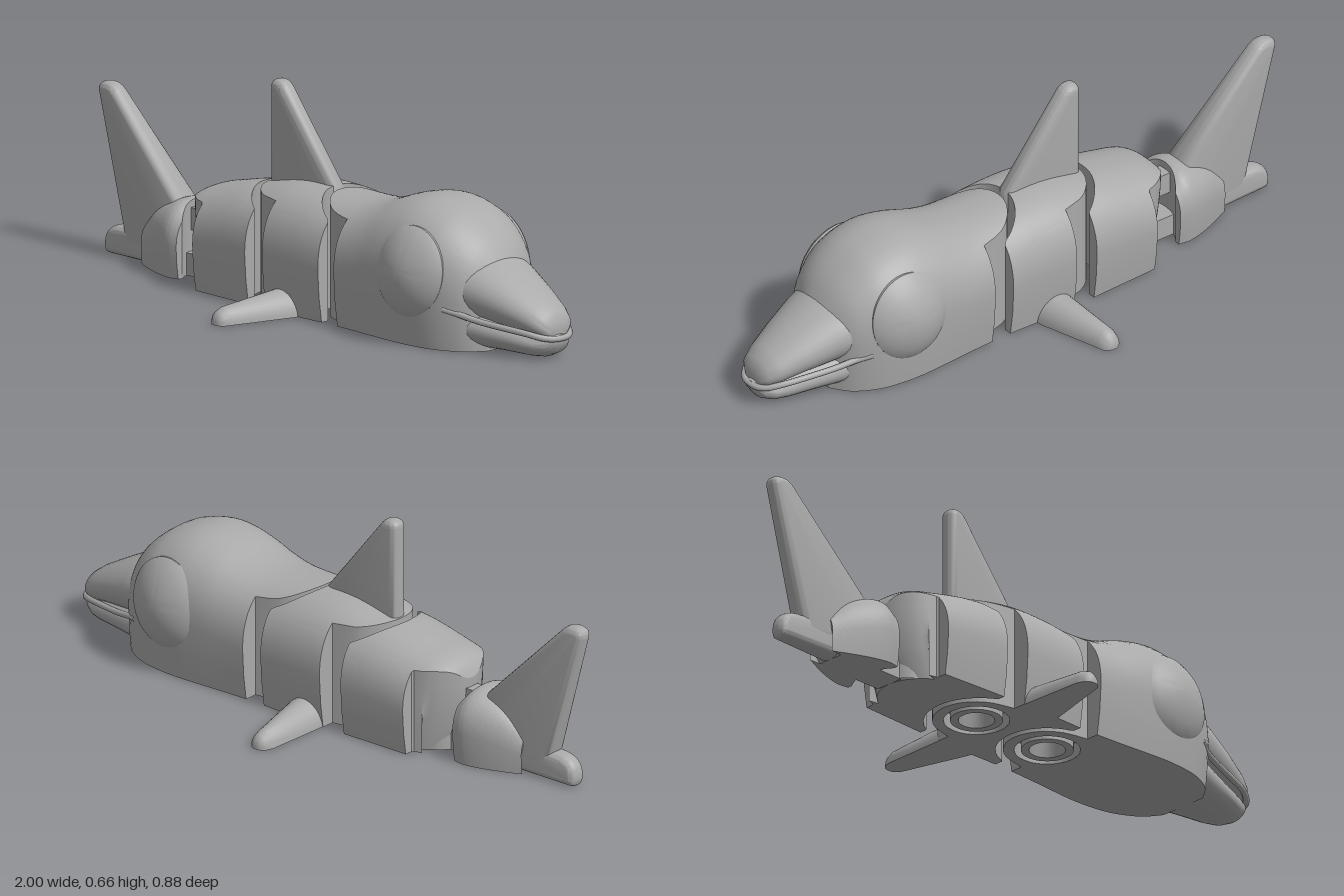
import * as THREE from 'three';
import { toCreasedNormals } from 'three/addons/utils/BufferGeometryUtils.js';

const grey = new THREE.MeshStandardMaterial({ color: 0xaaaaaa, side: THREE.DoubleSide });
grey.name = 'grey plastic';

function add(parent, name, geometry, crease = 0.6) {
  const mesh = new THREE.Mesh(crease ? toCreasedNormals(geometry, crease) : geometry, grey);
  mesh.name = name;
  parent.add(mesh);
  return mesh;
}

// Surface from a rule f(i, j) returning [x, y, z]
function grid(f, nu, nv) {
  const pos = [], idx = [];
  for (let i = 0; i <= nu; i++) for (let j = 0; j <= nv; j++) {
    pos.push(...f(i, j));
    if (i < nu && j < nv) {
      const a = i * (nv + 1) + j, b = a + nv + 1;
      idx.push(a, b, a + 1, b, b + 1, a + 1);
    }
  }
  const g = new THREE.BufferGeometry();
  g.setAttribute('position', new THREE.Float32BufferAttribute(pos, 3));
  g.setIndex(idx);
  g.computeVertexNormals();
  return g;
}

// Smooth interpolation through rows of [x, value, value]
function sample(rows, x, k) {
  let i = 0;
  while (i < rows.length - 2 && x > rows[i + 1][0]) i++;
  const P = n => rows[Math.max(0, Math.min(rows.length - 1, n))];
  const slope = n => (P(n + 1)[k] - P(n - 1)[k]) / (P(n + 1)[0] - P(n - 1)[0]);
  const a = P(i), b = P(i + 1), h = b[0] - a[0];
  const t = Math.max(0, Math.min(1, (x - a[0]) / h));
  const t2 = t * t, t3 = t2 * t;
  return (2 * t3 - 3 * t2 + 1) * a[k] + (t3 - 2 * t2 + t) * h * slope(i)
    + (3 * t2 - 2 * t3) * b[k] + (t3 - t2) * h * slope(i + 1);
}

// Joint outlines in plan: rounded tongue at the back, hollow socket at the front
const tongue = (cx, r, side) => z => Math.abs(z) < r ? cx - Math.sqrt(r * r - z * z) : side;
const socket = (cx, r, side) => z => Math.abs(z) < r ? Math.min(side, cx - Math.sqrt(r * r - z * z)) : side;

// Domed, flat-bottomed body segment; rows are [x, half width, top]
function segment(parent, name, { rows, ref, back, front, hinge, tuck = 0 }) {
  const group = new THREE.Group();
  group.name = name;
  parent.add(group);
  const N = 56, U = 28, V = 6, base = 0.92;
  const section = [[base, 0], [0.975, 0.22]];
  for (let j = 0; j <= N; j++) {
    const a = Math.PI * j / N, c = Math.cos(a);
    section.push([Math.sign(c) * Math.abs(c) ** 0.85, 0.45 + 0.55 * Math.sin(a) ** 0.85]);
  }
  section.push([-0.975, 0.22], [-base, 0]);
  const last = section.length - 1;
  const shift = (s, v) => Math.abs(s * ref) < 0.13 ? tuck * (1 - v) ** 2 : 0;
  const skin = (i, j) => {
    const [s, h] = section[j], x = THREE.MathUtils.lerp(back(s * ref), front(s * ref), i / U);
    return [x, h * sample(rows, x, 2), s * sample(rows, x, 1)];
  };
  const wall = (i, j, v) => {
    const [x, y, z] = skin(i, j), s = section[j][0];
    const zb = Math.abs(s) > base ? z * base / Math.abs(s) : z;
    return [x + (i ? 0 : shift(s, v)), y * v, v === 1 ? z : THREE.MathUtils.lerp(zb, z, v)];
  };
  add(group, name + 'Skin', grid(skin, U, last));
  add(group, name + 'BackWall', grid((i, j) => wall(0, j, i / V), V, last));
  add(group, name + 'FrontWall', grid((i, j) => wall(U, j, 1 - i / V), V, last));

  // Flat underside with the hinge opening
  const pts = [], put = p => pts.push(new THREE.Vector2(p[0], p[2]));
  const inner = [...section.keys()].filter(j => Math.abs(section[j][0]) < base - 0.01);
  for (const j of inner) put(wall(0, j, 0));
  for (let i = 0; i <= U; i++) put(skin(i, last));
  for (const j of [...inner].reverse()) put(wall(U, j, 0));
  for (let i = U; i >= 0; i--) put(skin(i, 0));
  const shape = new THREE.Shape(pts);
  if (hinge !== undefined) {
    shape.holes.push(new THREE.Path().absarc(hinge, 0, 0.1, 0, Math.PI * 2, true));
    const profile = [[0.1, 0], [0.1, 0.05], [0.08, 0.05], [0.08, 0], [0.055, 0], [0.04, 0.06], [0, 0.06]];
    const g = new THREE.LatheGeometry(profile.map(p => new THREE.Vector2(...p)), 40);
    add(group, name + 'Hinge', g.translate(hinge, 0, 0));
  }
  add(group, name + 'Underside', new THREE.ShapeGeometry(shape, 24).rotateX(Math.PI / 2), 0);
  return group;
}

// Oval loft along x; rows are [x, half width, bottom, top, sideways shift]
function loft(rows, n = 32) {
  const first = rows[0], end = rows[rows.length - 1];
  const tip = r => [r[0], 0, (r[2] + r[3]) / 2, (r[2] + r[3]) / 2, r[4]];
  const all = [tip(first), ...rows, tip(end)];
  return grid((i, j) => {
    const [x, w, y0, y1, c = 0] = all[i], a = 2 * Math.PI * j / n;
    return [x, Math.max(0, (y0 + y1) / 2 + (y1 - y0) / 2 * Math.sin(a)), c + w * Math.cos(a)];
  }, all.length - 1, n);
}

// Upright fin with rounded edges; thick(x) scales its thickness
function fin(shape, half, thick = () => 1) {
  const g = new THREE.ExtrudeGeometry(shape, {
    depth: 0.01, bevelEnabled: true, bevelThickness: half - 0.005, bevelSize: 0.022,
    bevelOffset: -0.022, bevelSegments: 6, curveSegments: 10,
  }).translate(0, 0, -0.005);
  const p = g.attributes.position;
  for (let i = 0; i < p.count; i++) p.setZ(i, p.getZ(i) * thick(p.getX(i)));
  return g;
}

export function createModel() {
  const model = new THREE.Group();
  model.name = 'jointedSeaAnimal';

  // Body segments
  segment(model, 'head', {
    rows: [[0.04, 0.195, 0.37], [0.21, 0.2, 0.37], [0.3, 0.205, 0.387], [0.4, 0.213, 0.42], [0.5, 0.218, 0.433],
      [0.6, 0.208, 0.41], [0.66, 0.187, 0.373], [0.72, 0.145, 0.315], [0.755, 0.09, 0.25]],
    ref: 0.2, back: tongue(0.18, 0.135, 0.21), front: () => 0.755, hinge: 0.18,
  });
  segment(model, 'middleBody', {
    rows: [[-0.26, 0.195, 0.345], [-0.1, 0.2, 0.375], [0.04, 0.2, 0.376], [0.14, 0.198, 0.365]],
    ref: 0.2, back: tongue(-0.12, 0.135, -0.1), front: socket(0.18, 0.157, 0.14), hinge: -0.12,
  });
  segment(model, 'rearBody', {
    rows: [[-0.54, 0.17, 0.235], [-0.52, 0.175, 0.272], [-0.48, 0.18, 0.297], [-0.42, 0.183, 0.313],
      [-0.28, 0.19, 0.342], [-0.18, 0.195, 0.35]],
    ref: 0.185, back: tongue(-0.4, 0.14, -0.42), front: socket(-0.12, 0.157, -0.18), hinge: -0.41, tuck: 0.05,
  });
  segment(model, 'tailBase', {
    rows: [[-0.78, 0.05, 0.13], [-0.72, 0.08, 0.185], [-0.66, 0.105, 0.217], [-0.6, 0.12, 0.232], [-0.56, 0.115, 0.21]],
    ref: 0.12, back: () => -0.78, front: socket(-0.43, 0.16, -0.56), tuck: 0.04,
  });

  // Links between the rear body and the tail
  add(model, 'lowerTailLink', new THREE.BoxGeometry(0.13, 0.07, 0.1).translate(-0.555, 0.035, 0));
  add(model, 'upperTailLink', new THREE.BoxGeometry(0.1, 0.07, 0.05).translate(-0.56, 0.17, 0));

  // Snout, jaw and lip
  add(model, 'snout', loft([[0.6, 0.17, 0.08, 0.31], [0.7, 0.152, 0.08, 0.287], [0.76, 0.135, 0.075, 0.266],
    [0.85, 0.11, 0.07, 0.218], [0.93, 0.084, 0.06, 0.172], [0.965, 0.066, 0.06, 0.146], [0.98, 0.04, 0.065, 0.115]]), 0.8);
  add(model, 'lowerJaw', loft([[0.55, 0.18, -0.01, 0.17], [0.7, 0.145, -0.005, 0.15], [0.8, 0.115, 0, 0.12],
    [0.9, 0.085, 0, 0.095], [0.94, 0.07, 0.004, 0.085], [0.97, 0.052, 0.018, 0.08], [0.99, 0.025, 0.045, 0.078]]), 0.8);
  const lip = [[0.66, 0.13, 0.178], [0.7, 0.118, 0.155], [0.77, 0.103, 0.133], [0.86, 0.092, 0.107], [0.93, 0.083, 0.083],
    [0.97, 0.072, 0.055], [0.988, 0.068, 0.025]];
  const path = [...lip, ...lip.map(([x, y, z]) => [x, y, -z]).reverse()].map(p => new THREE.Vector3(...p));
  add(model, 'mouthLip', new THREE.TubeGeometry(new THREE.CatmullRomCurve3(path), 60, 0.01, 8), 0);

  // Eye discs and side flippers
  const disc = [[0.134, -0.07], [0.134, 0], [0.126, 0.009], [0.1, 0.027], [0.07, 0.041], [0.035, 0.051], [0, 0.054]];
  for (const side of [1, -1]) {
    const label = side > 0 ? 'left' : 'right';
    const eye = add(model, label + 'EyeDisc',
      new THREE.LatheGeometry(disc.map(p => new THREE.Vector2(...p)), 48), 0.5);
    eye.position.set(0.53, 0.228, side * 0.191);
    eye.quaternion.setFromUnitVectors(new THREE.Vector3(0, 1, 0), new THREE.Vector3(0.06, 0.14, side).normalize());
    eye.scale.set(1, 1, 1.04);

    const rows = [[0.15, 0.072, 0.08, -0.028], [0.2, 0.068, 0.076, -0.03], [0.3, 0.053, 0.064, -0.043],
      [0.4, 0.038, 0.052, -0.056], [0.425, 0.031, 0.042, -0.056], [0.437, 0.019, 0.026, -0.056], [0.441, 0.008, 0.01, -0.056]];
    add(model, label + 'Flipper',
      loft(rows.map(([d, w, h, c]) => [d, w, -h, h, -side * c])).rotateY(-side * Math.PI / 2), 0.8);
  }

  // Back fin
  const dorsal = new THREE.Shape();
  dorsal.moveTo(-0.25, 0.3).lineTo(-0.25, 0.64).quadraticCurveTo(-0.25, 0.664, -0.222, 0.664)
    .quadraticCurveTo(-0.2, 0.664, -0.185, 0.645).lineTo(0.03, 0.376).lineTo(0.03, 0.3);
  add(model, 'backFin', fin(dorsal, 0.028), 0.8);

  // Tail fin lobes
  const upper = new THREE.Shape();
  upper.moveTo(-0.87, 0.04).lineTo(-0.998, 0.495).quadraticCurveTo(-1.005, 0.53, -0.96, 0.53)
    .quadraticCurveTo(-0.935, 0.53, -0.915, 0.51).lineTo(-0.62, 0.215).lineTo(-0.62, 0.04);
  add(model, 'upperTailLobe', fin(upper, 0.04, x => 0.65 + 1.7 * (x + 1)), 0.8);
  const lower = new THREE.Shape();
  lower.moveTo(-0.65, 0).lineTo(-0.95, 0).quadraticCurveTo(-0.97, 0, -0.97, 0.03)
    .quadraticCurveTo(-0.97, 0.085, -0.91, 0.094).lineTo(-0.65, 0.11);
  add(model, 'lowerTailLobe', fin(lower, 0.035, x => 0.8 + 1.5 * (x + 1)), 0.8);

  return model;
}
